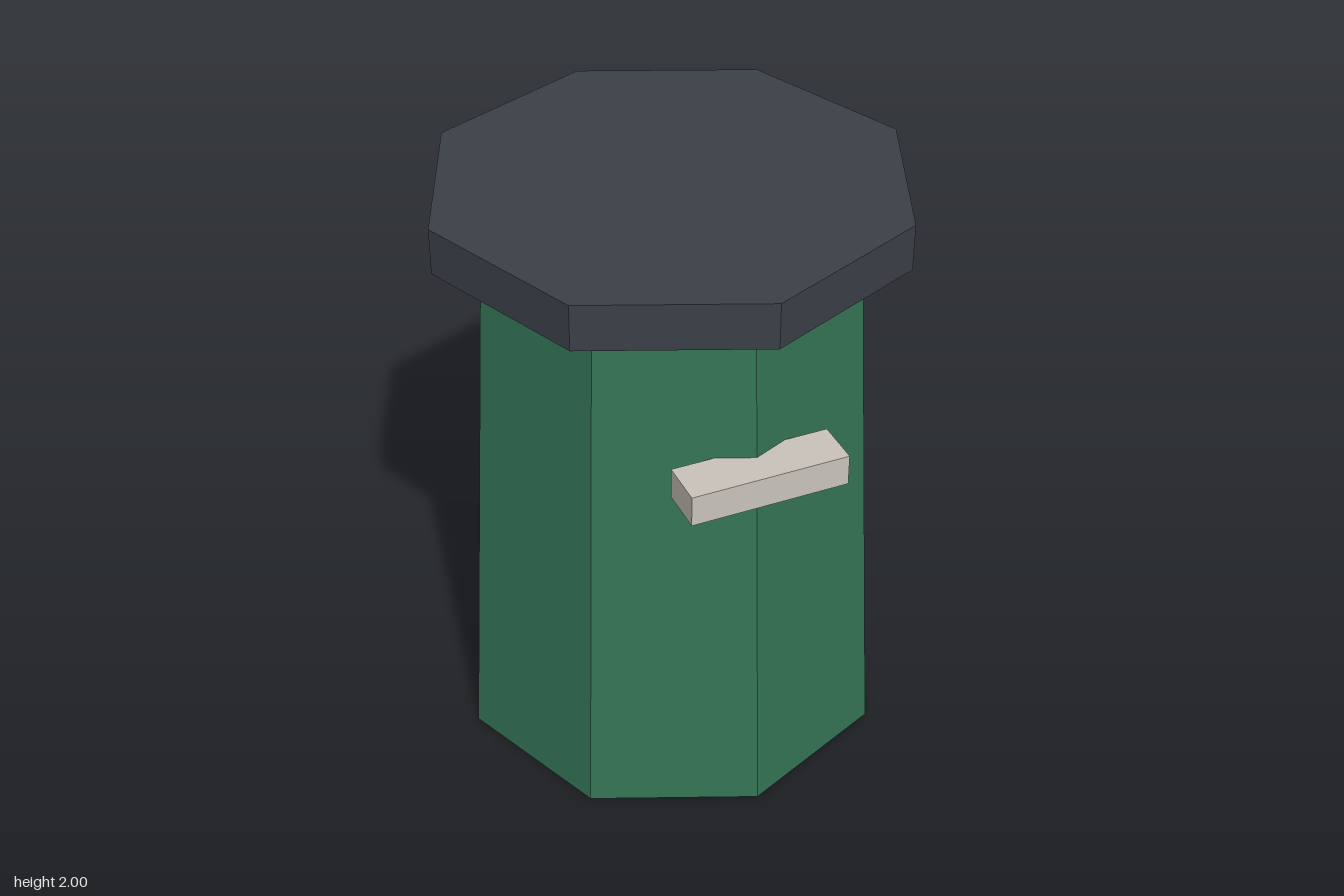
import * as THREE from 'three';

const material = (name, color, flatShading = true) => {
  const m = new THREE.MeshStandardMaterial({ color, flatShading });
  m.name = name;
  return m;
};

export function createModel() {
  const group = new THREE.Group();
  group.name = 'bin';
  const green = material('green', 0x347355);
  const charcoal = material('charcoal', 0x3b4047);
  const paleGrey = material('pale grey', 0xc9c3bb);

  const add = (name, geometry, mat, y, z = 0) => {
    const mesh = new THREE.Mesh(geometry, mat);
    mesh.name = name;
    mesh.position.set(0, y, z);
    group.add(mesh);
  };

  // Tapered eight-sided body, one corner facing the front
  add('body', new THREE.CylinderGeometry(0.63, 0.735, 1.845, 8), green, 0.9225);
  // Overhanging flat lid
  add('lid', new THREE.CylinderGeometry(0.787, 0.787, 0.155, 8), charcoal, 1.9225);
  // Straight bar handle set into the front corner
  add('handle', new THREE.BoxGeometry(0.525, 0.105, 0.155), paleGrey, 1.317, 0.685);

  return group;
}
